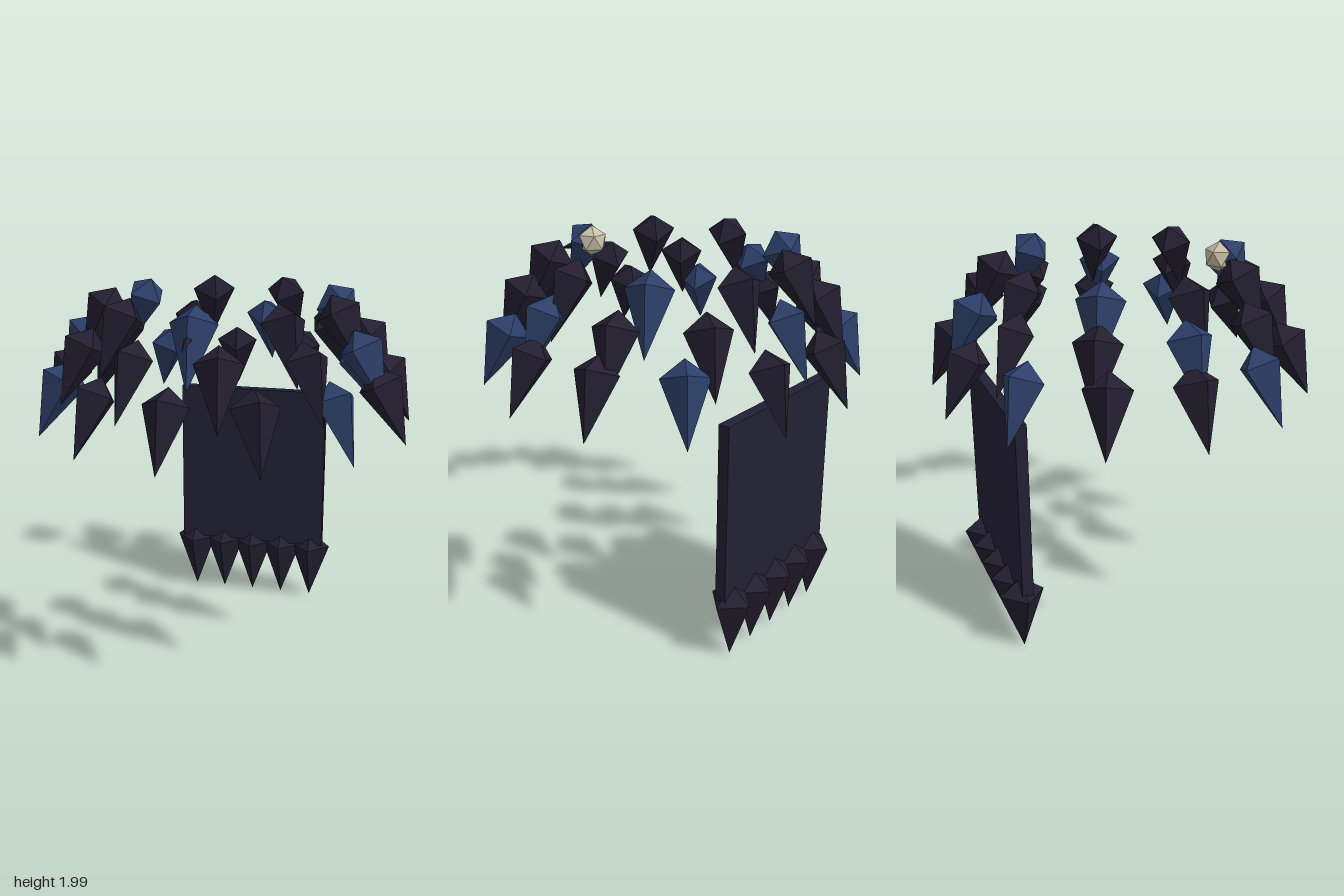
import * as THREE from 'three';

const dark = new THREE.MeshStandardMaterial({ name: 'dark feather', color: 0x231f30 });
const blue = new THREE.MeshStandardMaterial({ name: 'blue feather', color: 0x2d3f69 });
const cloth = new THREE.MeshStandardMaterial({ name: 'dark cloth', color: 0x222134 });
const bone = new THREE.MeshStandardMaterial({ name: 'bone', color: 0xc9bfa6 });

// Four-sided feather: an octahedron with a long lower point and a short cap
function featherGeometry(radius, drop, cap) {
  const geo = new THREE.OctahedronGeometry(1);
  const p = geo.attributes.position;
  for (let i = 0; i < p.count; i++) {
    const y = p.getY(i);
    p.setXYZ(i, p.getX(i) * radius, y * (y < 0 ? drop : cap), p.getZ(i) * radius);
  }
  geo.computeVertexNormals();
  return geo;
}

function add(parent, name, geo, mat, x, y, z) {
  const mesh = new THREE.Mesh(geo, mat);
  mesh.name = name;
  mesh.position.set(x, y, z);
  parent.add(mesh);
  return mesh;
}

export function createModel() {
  const model = new THREE.Group();
  model.name = 'featherCloak';
  const feather = featherGeometry(0.118, 0.33, 0.09);

  // Collar: three rings of feathers, points flaring outward
  const tiers = [
    { name: 'upperCollar', count: 9, radius: 0.61, y: 1.917 },
    { name: 'middleCollar', count: 11, radius: 0.745, y: 1.757 },
    { name: 'lowerCollar', count: 13, radius: 0.847, y: 1.577 },
  ];
  tiers.forEach(({ name, count, radius, y }, t) => {
    const ring = new THREE.Group();
    ring.name = name;
    for (let i = 0; i < count; i++) {
      const a = (i / count) * Math.PI * 2 + t * 0.2;
      const mat = (i + t) % 3 === 0 ? blue : dark;
      const m = add(ring, 'collarFeather', feather, mat, Math.sin(a) * radius, y, Math.cos(a) * radius);
      m.rotation.set(-0.46, a, 0, 'YXZ');
    }
    model.add(ring);
  });

  // Bird-skull brooch at the front, its beak poking through the feather
  const brooch = new THREE.Group();
  brooch.name = 'brooch';
  const skull = add(brooch, 'skull', new THREE.IcosahedronGeometry(0.085), bone, 0, 1.905, 0.57);
  skull.rotation.x = -1.017;
  const beakGeo = new THREE.ConeGeometry(0.045, 0.26, 4).toNonIndexed();
  beakGeo.computeVertexNormals();
  const beak = add(brooch, 'beak', beakGeo, dark, 0, 1.862, 0.7);
  beak.rotation.x = Math.PI / 2 + 0.32;
  model.add(brooch);

  // Back panel with a row of hanging feathers along its hem
  add(model, 'backPanel', new THREE.BoxGeometry(0.876, 0.965, 0.06), cloth, 0.007, 0.8325, -0.68);
  const hem = new THREE.Group();
  hem.name = 'hem';
  for (let i = -2; i <= 2; i++) {
    add(hem, 'hemFeather', feather, dark, 0.007 + i * 0.182, 0.335, -0.692);
  }
  model.add(hem);

  // Stand the hem points on the ground
  model.children.forEach((part) => { part.position.y -= 0.005; });
  return model;
}
